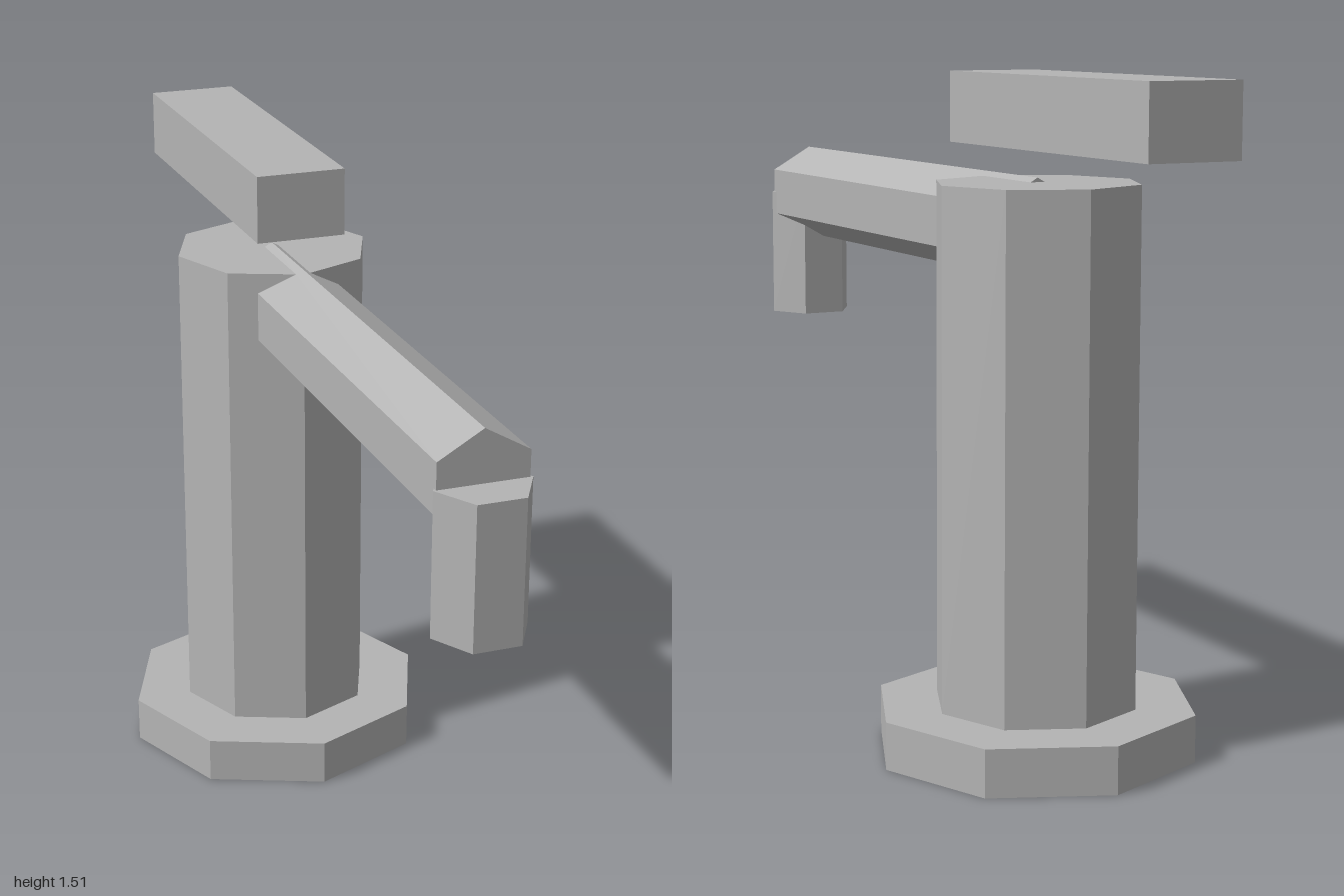
import * as THREE from 'three';

export function createModel() {
  const model = new THREE.Group();
  model.name = 'faucet';

  const metal = new THREE.MeshStandardMaterial({ color: 0xb4b4b4 });
  metal.name = 'grey metal';

  const columnZ = -0.365;

  function addPart(name, geometry, x, y, z) {
    const mesh = new THREE.Mesh(geometry, metal);
    mesh.name = name;
    mesh.position.set(x, y, z);
    model.add(mesh);
    return mesh;
  }

  // Flat-sided prism; non-indexed normals keep every facet crisp
  function prism(radius, length, sides) {
    const geometry = new THREE.CylinderGeometry(radius, radius, length, sides).toNonIndexed();
    geometry.computeVertexNormals();
    return geometry;
  }

  // Octagonal foot and column
  addPart('base', prism(0.37, 0.108, 8), 0, 0.054, columnZ);
  addPart('column', prism(0.233, 1.167, 8), 0, 0.108 + 1.167 / 2, columnZ);

  // Hexagonal spout with a ridge on top, running from the column's centre to the front
  const spoutFront = 0.907;
  const spoutLength = spoutFront - columnZ;
  addPart('spout', prism(0.115, spoutLength, 6).rotateX(Math.PI / 2),
    0, 1.17, (spoutFront + columnZ) / 2);

  // Hexagonal nozzle hanging at the spout's end, flat side forward
  addPart('nozzle', prism(0.106, 0.318, 6).rotateY(Math.PI / 6), 0, 1.01, spoutFront);

  // Lever handle floating above the column and reaching backward
  addPart('handle', new THREE.BoxGeometry(0.212, 0.157, 0.848), 0, 1.433, -0.575);

  return model;
}
